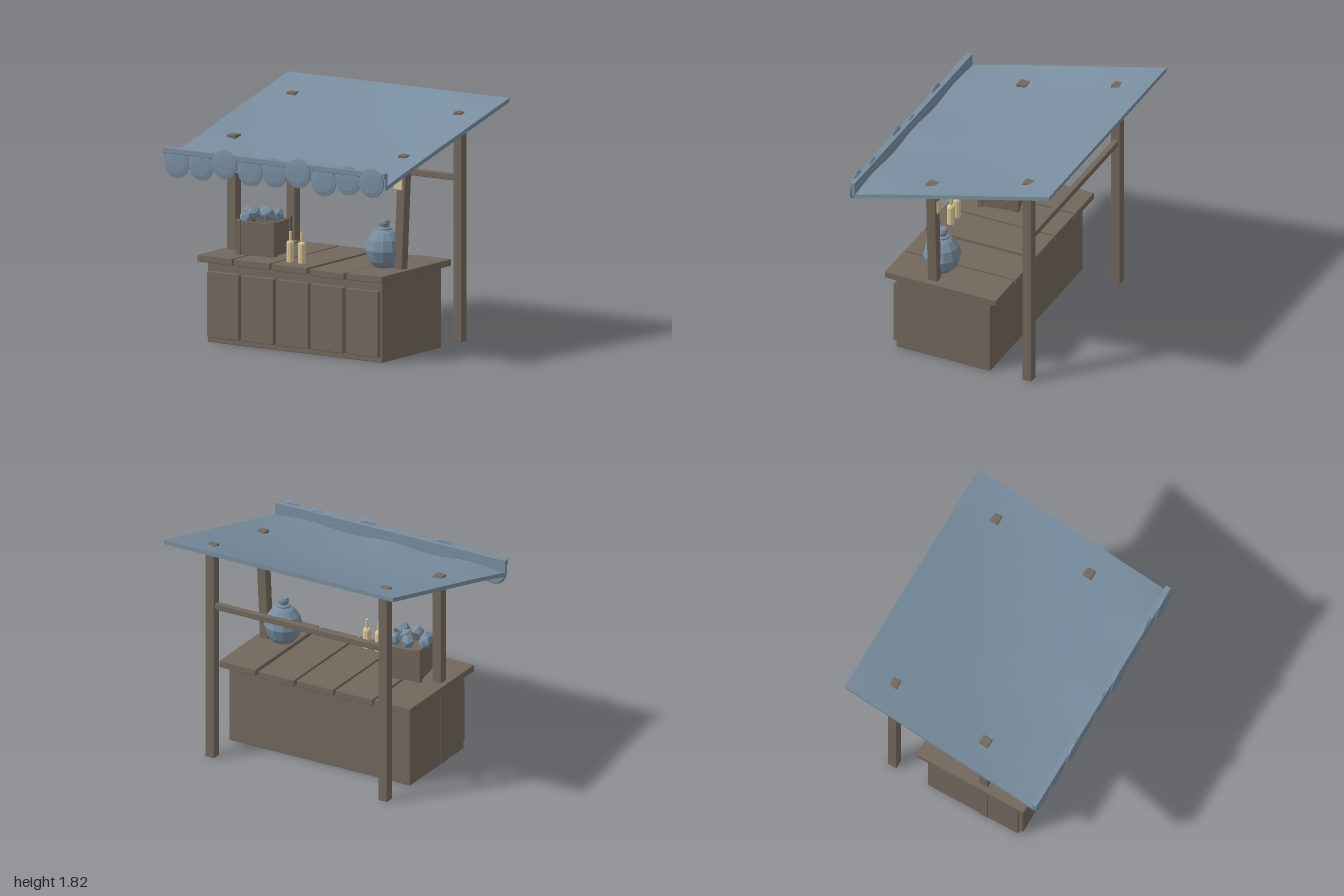
import * as THREE from 'three';
import { RoundedBoxGeometry } from 'three/addons/geometries/RoundedBoxGeometry.js';

export function createModel() {
  const model = new THREE.Group();
  model.name = 'marketStall';

  const mat = (name, color) => {
    const m = new THREE.MeshStandardMaterial({ color });
    m.name = name;
    return m;
  };
  const wood = mat('wood', 0x72675c);
  const blue = mat('slateBlue', 0x788d9f);
  const cream = mat('cream', 0xdac698);

  const add = (name, geometry, material, x, y, z, parent = model) => {
    const mesh = new THREE.Mesh(geometry, material);
    mesh.name = name;
    mesh.position.set(x, y, z);
    parent.add(mesh);
    return mesh;
  };
  // Softly bevelled box given by its min and max corners
  const box = (name, material, x0, x1, y0, y1, z0, z1, parent = model) =>
    add(name, new RoundedBoxGeometry(x1 - x0, y1 - y0, z1 - z0, 1, 0.005), material,
      (x0 + x1) / 2, (y0 + y1) / 2, (z0 + z1) / 2, parent);
  // Faceted solid of revolution
  const lathe = (points, sides) => {
    const g = new THREE.LatheGeometry(points.map(p => new THREE.Vector2(...p)), sides).toNonIndexed();
    g.computeVertexNormals();
    return g;
  };

  // Counter body, front panels and top planks
  box('counterBody', wood, -0.785, 0.785, 0, 0.605, -0.24, 0.535);
  const panels = [[-0.77, -0.487], [-0.457, -0.174], [-0.142, 0.14], [0.17, 0.452], [0.485, 0.768]];
  for (const [a, b] of panels) box('frontPanel', wood, a, b, 0.042, 0.54, 0.525, 0.57);
  const planks = [[-0.83, -0.518, 0.613], [-0.5, -0.18, 0.613], [-0.162, 0.155, 0.613],
    [0.18, 0.49, 0.607], [0.513, 0.83, 0.613]];
  for (const [a, b, y] of planks) box('topPlank', wood, a, b, y, y + 0.052, -0.31, 0.61);

  // Posts and rear beam
  box('backPostRight', wood, -0.79, -0.715, 0, 1.735, -0.58, -0.505);
  box('backPostLeft', wood, 0.71, 0.785, 0, 1.735, -0.58, -0.505);
  box('frontPostRight', wood, -0.79, -0.715, 0, 1.53, 0.2, 0.277);
  const leaning = box('frontPostLeft', wood, 0.715, 0.789, 0.004, 1.528, 0.2, 0.277);
  leaning.rotation.z = -0.045;
  box('rearBeam', wood, -0.73, 0.73, 1.213, 1.26, -0.565, -0.52);

  // Lantern around the leaning post
  const lantern = new THREE.Group();
  lantern.name = 'lantern';
  lantern.position.set(0.755, 1.33, 0.238);
  lantern.rotation.z = -0.045;
  model.add(lantern);
  box('lanternBody', cream, -0.042, 0.036, -0.065, 0.065, -0.048, 0.047, lantern);
  box('lanternCap', wood, -0.055, 0.055, 0.062, 0.09, -0.058, 0.057, lantern);

  // Sagging cloth roof: straight slope, with a dip towards the middle
  const roof = new THREE.BoxGeometry(1.99, 0.032, 1.62, 20, 1, 20);
  const p = roof.attributes.position;
  for (let i = 0; i < p.count; i++) {
    const x = p.getX(i), z = p.getZ(i) - 0.02, u = (z + 0.83) / 1.62;
    const sag = 0.08 * Math.sin(Math.PI * u) * (1 - x * x);
    const wave = 0.012 * Math.pow(u, 6) * Math.cos(9 * x);
    p.setXYZ(i, x, 1.804 - 0.26 * (z + 0.83) - sag + wave + p.getY(i), z);
  }
  roof.computeVertexNormals();
  add('roofCloth', roof, blue, 0, 0, 0);

  // Front valance band and hanging scallops
  box('valanceBand', blue, -1, 1, 1.375, 1.45, 0.775, 0.8);
  box('valanceLip', blue, -1, 1, 1.448, 1.492, 0.775, 0.82);
  const scallop = lathe([[0, -0.015], [0.1, -0.015], [0.111, -0.004], [0.111, 0.006], [0.075, 0.013], [0, 0.016]], 14);
  scallop.rotateX(Math.PI / 2);
  const heights = [1.378, 1.38, 1.415, 1.38, 1.395, 1.415, 1.372, 1.402, 1.408];
  heights.forEach((y, i) => {
    const forward = i % 3 === 2 && i !== 5 || i === 5;
    add('scallop', scallop, blue, (i - 4) * 0.2205, y, forward ? 0.819 : 0.803);
  });

  // Large vase
  const vase = lathe([[0, 0], [0.07, 0], [0.118, 0.05], [0.145, 0.135], [0.124, 0.215], [0.08, 0.268],
    [0.052, 0.285], [0.052, 0.297], [0.034, 0.305], [0.042, 0.335], [0.034, 0.358], [0, 0.358]], 12);
  add('vase', vase, blue, 0.605, 0.662, 0.245);

  // Two bottles
  const bottle = lathe([[0, 0], [0.03, 0], [0.03, 0.145], [0.024, 0.158], [0.011, 0.162], [0.011, 0.232], [0, 0.232]], 10);
  for (const x of [-0.092, 0.012]) add('bottle', bottle, cream, x, 0.663, 0.463);

  // Turned crate with side boards, corner slats and fruit
  const crate = new THREE.Group();
  crate.name = 'crate';
  crate.position.set(-0.47, 0.663, 0.258);
  crate.rotation.y = 0.17;
  model.add(crate);
  box('crateFloor', wood, -0.14, 0.14, 0.005, 0.2, -0.14, 0.14, crate);
  for (let k = 0; k < 4; k++) {
    const side = new THREE.Group();
    side.name = 'crateSide';
    side.rotation.y = k * Math.PI / 2;
    crate.add(side);
    box('crateBoard', wood, -0.15, 0.15, 0, 0.255, 0.13, 0.15, side);
    for (const s of [-1, 1]) box('crateSlat', wood, s * 0.138 - 0.02, s * 0.138 + 0.02, 0, 0.268, 0.145, 0.162, side);
  }
  const fruit = new THREE.IcosahedronGeometry(0.053, 0);
  const spots = [[-0.625, 0.945, 0.24], [-0.51, 0.975, 0.33], [-0.39, 0.975, 0.32],
    [-0.52, 0.955, 0.17], [-0.4, 0.95, 0.18], [-0.46, 0.965, 0.25], [-0.57, 0.93, 0.35]];
  spots.forEach(([x, y, z], i) => {
    add('fruit', fruit, blue, x, y, z).rotation.set(i * 0.7, i * 1.3, i * 0.4);
  });

  return model;
}
